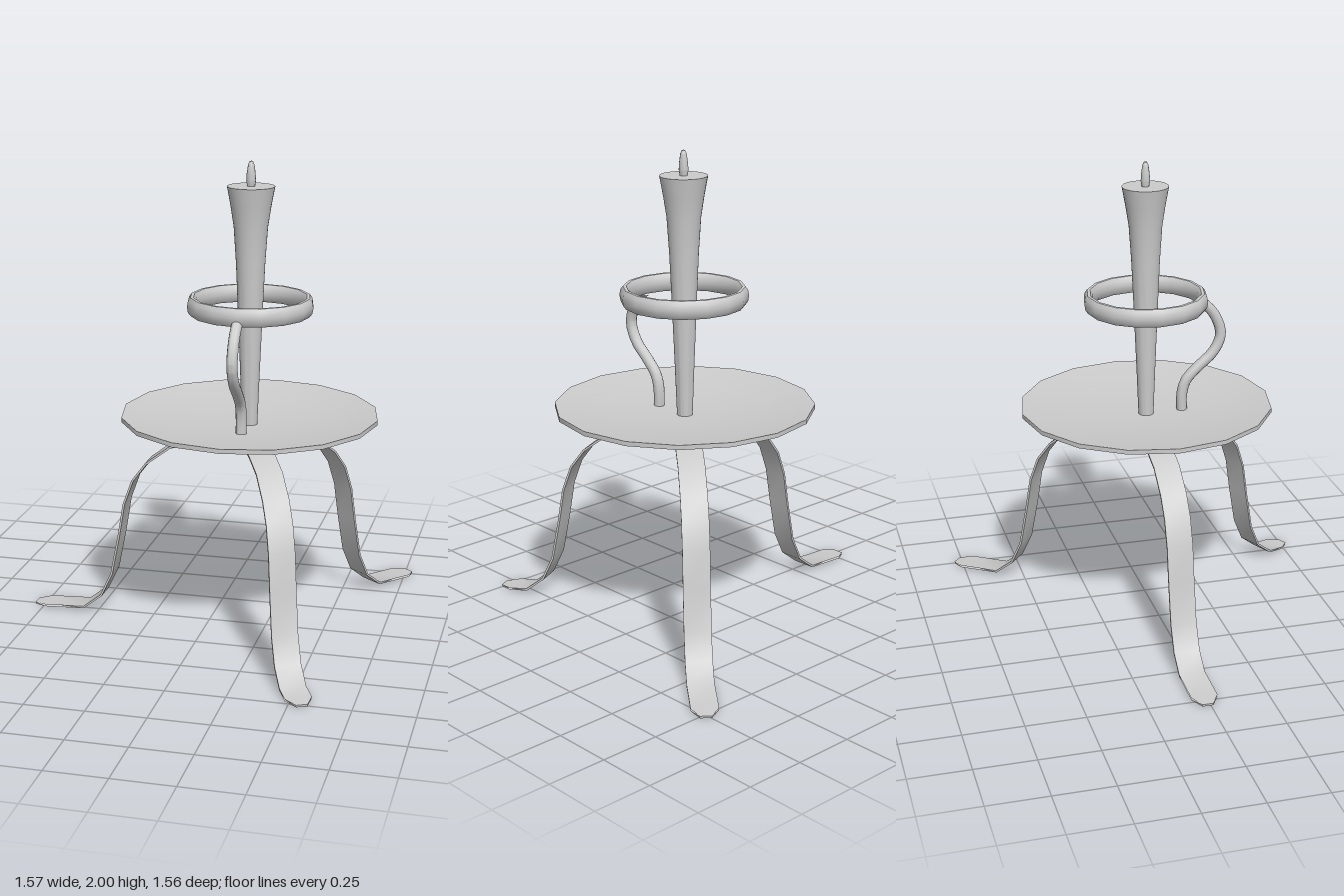
import * as THREE from 'three';
import { toCreasedNormals } from 'three/addons/utils/BufferGeometryUtils.js';

const material = new THREE.MeshStandardMaterial({ color: 0xcccccc });
const CENTRE = [0.17, 0, -0.012];
const HALF_WIDTH = 0.055;

function part(name, geometry) {
  const mesh = new THREE.Mesh(toCreasedNormals(geometry, 0.65), material);
  mesh.name = name;
  return mesh;
}

function lathe(name, profile, sides) {
  return part(name, new THREE.LatheGeometry(profile.map(([r, y]) => new THREE.Vector2(r, y)), sides));
}

// Bent strap leg running outward along +x, with a tapered toe
function leg(name, reach, angle) {
  const path = [
    [0.03, 0.831], [0.14, 0.829], [0.22, 0.815], [0.335, 0.78], [0.44, 0.7], [0.5, 0.62],
    [0.54, 0.51], [0.565, 0.36], [0.6, 0.185], [0.65, 0.08], [0.73, 0.018],
    [reach - 0.053, 0.01], [reach, 0.005],
  ].map(([x, y]) => new THREE.Vector2(x, y));

  // Offset the centre line to both sides to give the strap its thickness
  const side = (offset) => path.map((p, i) => {
    const a = path[Math.max(i - 1, 0)];
    const b = path[Math.min(i + 1, path.length - 1)];
    const t = b.clone().sub(a).normalize();
    return new THREE.Vector2(p.x - t.y * offset, p.y + t.x * offset);
  });
  const outline = [...side(-0.0045), ...side(0.0045).reverse()];
  const geometry = new THREE.ExtrudeGeometry(new THREE.Shape(outline), {
    depth: HALF_WIDTH * 2, bevelEnabled: false,
  });
  geometry.translate(0, 0, -HALF_WIDTH);

  // Narrow the toe
  const pos = geometry.attributes.position;
  for (let i = 0; i < pos.count; i++) {
    if (pos.getX(i) > reach - 0.01) pos.setZ(i, pos.getZ(i) * 0.42);
  }
  const mesh = part(name, geometry);
  mesh.rotation.y = THREE.MathUtils.degToRad(angle);
  return mesh;
}

export function createModel() {
  const model = new THREE.Group();
  model.name = 'candleHolder';
  const body = new THREE.Group();
  body.name = 'body';
  body.position.set(...CENTRE);
  model.add(body);

  // Shallow drip dish
  body.add(lathe('dish', [
    [0, 0.83], [0.08, 0.833], [0.18, 0.85], [0.36, 0.884], [0.54, 0.926],
    [0.54, 0.945], [0.36, 0.915], [0.18, 0.9], [0, 0.895],
  ], 16));

  // Candle flaring toward the top
  body.add(lathe('candle', [
    [0, 0.885], [0.032, 0.885], [0.04, 1.1], [0.053, 1.42], [0.06, 1.58],
    [0.07, 1.73], [0.083, 1.815], [0.098, 1.897], [0, 1.897],
  ], 32));
  body.add(lathe('wick', [
    [0.015, 1.89], [0.02, 1.92], [0.018, 1.95], [0.013, 1.985], [0.007, 1.998], [0, 2],
  ], 10));

  // Tall oval-section ring around the candle
  const ring = new THREE.TorusGeometry(0.243, 0.021, 10, 16);
  ring.scale(1, 1, 1.9);
  ring.rotateX(Math.PI / 2);
  ring.translate(0, 1.405, 0);
  body.add(part('ring', ring));

  // Curved arm holding the ring
  const armPath = new THREE.CatmullRomCurve3([
    [0.89, 0.16], [0.97, 0.16], [1.03, 0.178], [1.09, 0.235], [1.15, 0.3], [1.225, 0.332],
    [1.3, 0.312], [1.35, 0.278], [1.38, 0.24],
  ].map(([y, z]) => new THREE.Vector3(0, y, z)));
  body.add(part('ringArm', new THREE.TubeGeometry(armPath, 20, 0.023, 10)));

  // Three legs
  body.add(leg('rightLeg', 0.962, 180));
  body.add(leg('backLeg', 0.965, 52));
  body.add(leg('frontLeg', 0.865, -63.5));

  return model;
}
